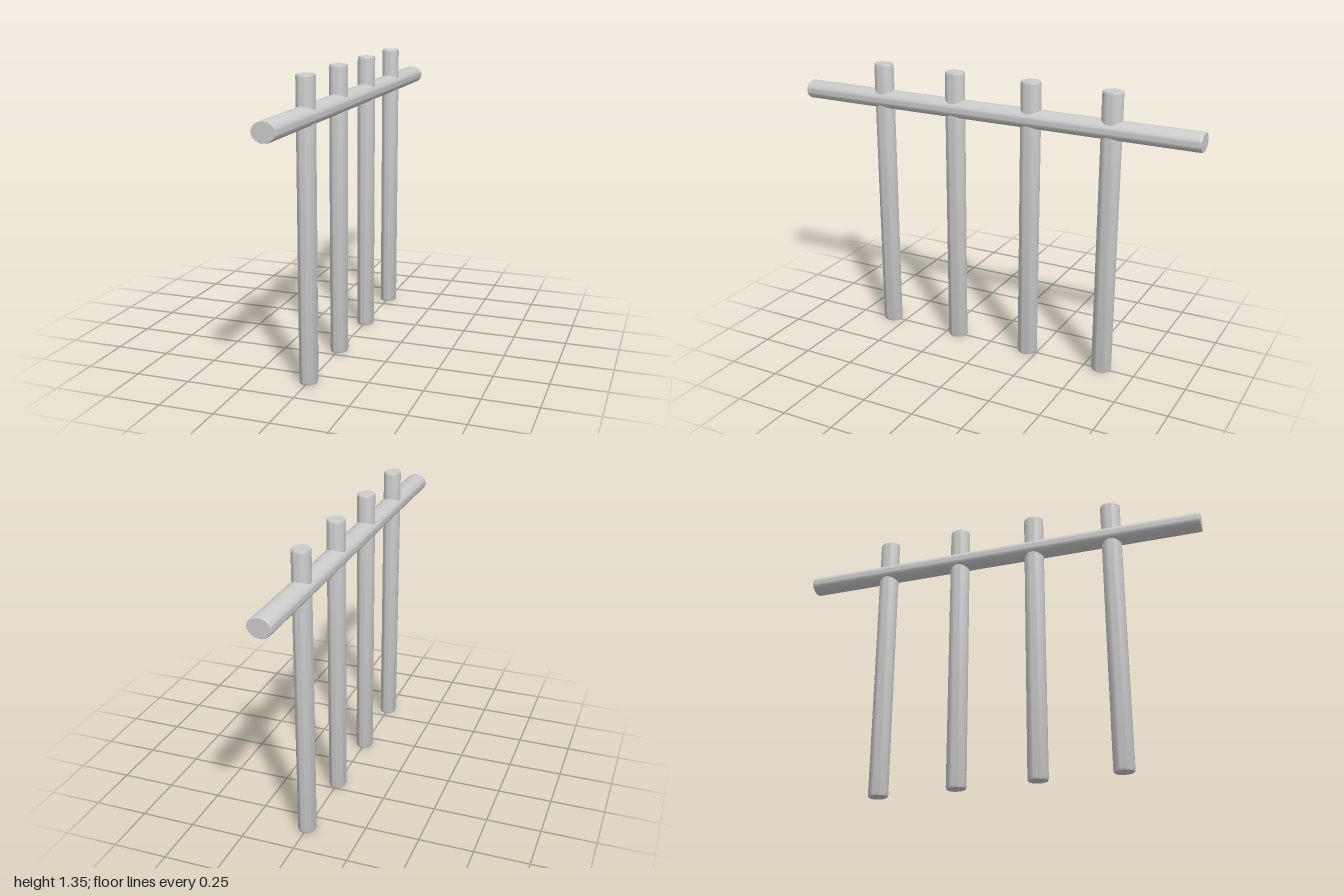
import * as THREE from 'three';
import { toCreasedNormals } from 'three/addons/utils/BufferGeometryUtils.js';

// Oval rod standing on y = 0, with slightly eased ends
function rodGeometry(radiusX, radiusZ, length) {
  const inset = 0.93, ease = 0.01;
  const profile = [
    [0, 0], [inset, 0], [0.98, ease * 0.4], [1, ease],
    [1, length - ease], [0.98, length - ease * 0.4], [inset, length], [0, length],
  ].map(([r, y]) => new THREE.Vector2(r, y));
  const geometry = new THREE.LatheGeometry(profile, 32);
  geometry.scale(radiusX, 1, radiusZ);
  return toCreasedNormals(geometry, Math.PI / 6);
}

export function createModel() {
  const group = new THREE.Group();
  group.name = 'postFence';
  const material = new THREE.MeshStandardMaterial({ color: 0xcccccc });

  // Four upright posts, evenly spaced along the rail
  const postGeometry = rodGeometry(0.041, 0.048, 1.347);
  for (let i = 0; i < 4; i++) {
    const post = new THREE.Mesh(postGeometry, material);
    post.name = `post${i + 1}`;
    post.position.z = 0.573 - i * 0.387;
    group.add(post);
  }

  // Horizontal rail passing through the posts
  const rail = new THREE.Mesh(rodGeometry(0.053, 0.044, 2), material);
  rail.name = 'rail';
  rail.rotation.x = Math.PI / 2;
  rail.position.set(0, 1.175, -1);
  group.add(rail);

  return group;
}
